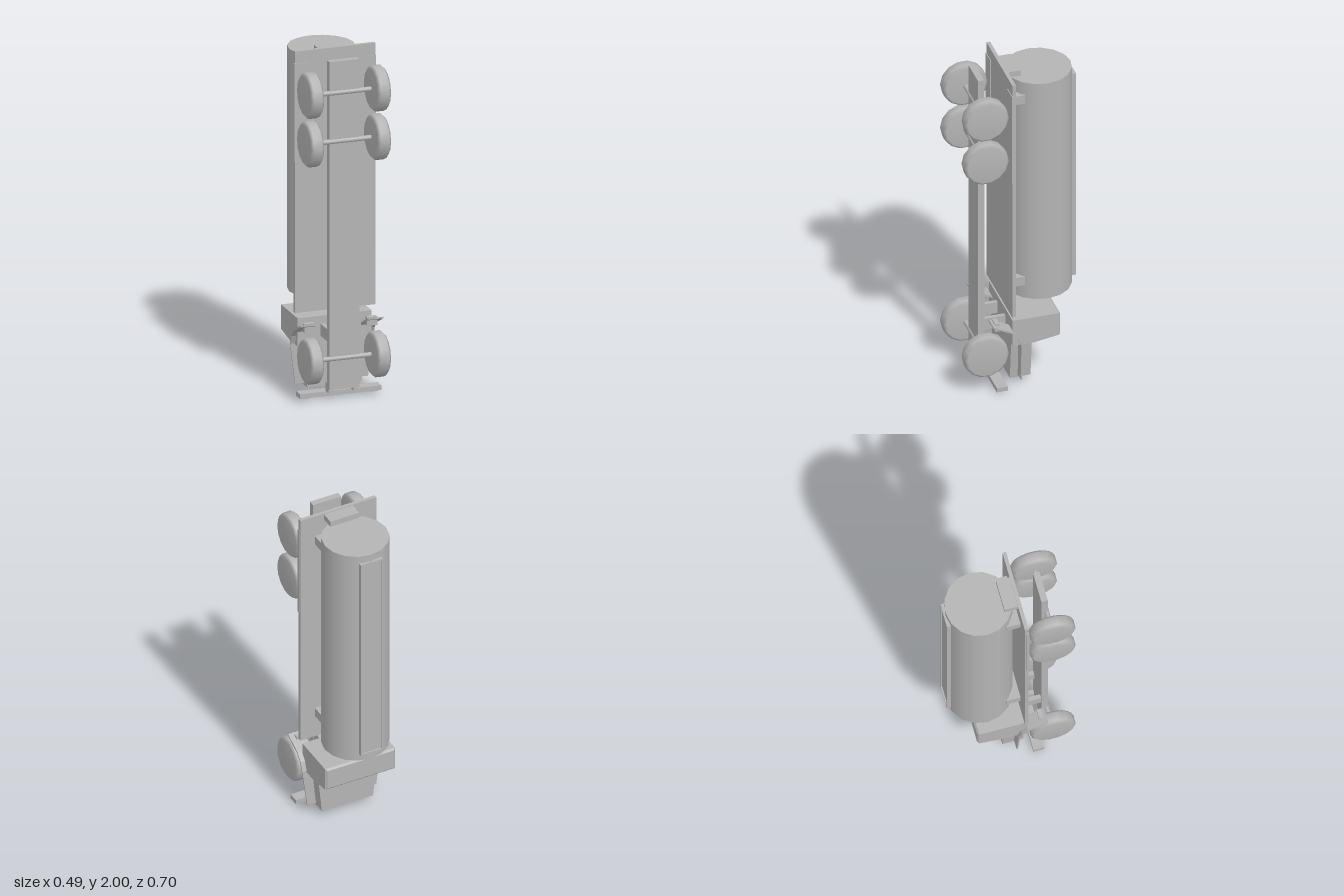
import * as THREE from 'three';
import { ConvexGeometry } from 'three/addons/geometries/ConvexGeometry.js';

// A tank truck standing on its nose: its front is at y = 0, its roof faces -z.
export function createModel() {
  const model = new THREE.Group();
  model.name = 'tankTruck';
  const grey = new THREE.MeshStandardMaterial({ color: 0xb4b4b4 });
  grey.name = 'plain grey';

  const add = (name, geometry, x = 0, y = 0, z = 0) => {
    const mesh = new THREE.Mesh(geometry, grey);
    mesh.name = name;
    mesh.position.set(x, y, z);
    model.add(mesh);
    return mesh;
  };
  // Box given by its extents
  const box = (name, x0, x1, y0, y1, z0, z1) =>
    add(name, new THREE.BoxGeometry(x1 - x0, y1 - y0, z1 - z0),
      (x0 + x1) / 2, (y0 + y1) / 2, (z0 + z1) / 2);
  // The same box on both sides
  const pair = (name, x0, x1, ...rest) => {
    box(name + 'Left', x0, x1, ...rest);
    box(name + 'Right', -x1, -x0, ...rest);
  };
  // Convex solid from half-widths: [halfWidth, y, z]
  const hull = (name, points) => add(name, new ConvexGeometry(
    points.flatMap(([x, y, z]) => [new THREE.Vector3(x, y, z), new THREE.Vector3(-x, y, z)])));

  // Chassis and load deck
  box('chassis', -0.088, 0.088, 0.06, 1.968, 0.187, 0.224);
  box('deck', -0.237, 0.237, 0.48, 2, 0.052, 0.073);
  pair('rearMudguard', 0.155, 0.241, 1.36, 1.93, 0.062, 0.077);
  box('rearBox', -0.09, 0.09, 1.96, 1.995, -0.025, 0.053);

  // Tank, its saddles and the walkway along its top
  add('tank', new THREE.CylinderGeometry(0.19, 0.19, 1.41, 16), 0, 1.24, -0.15);
  for (const y of [0.62, 1.81]) box('tankSaddle', -0.147, 0.147, y, y + 0.055, -0.03, 0.056);
  box('walkway', -0.06, 0.06, 0.59, 1.89, -0.342, -0.31);
  pair('walkwaySideRail', 0.06, 0.07, 0.58, 1.9, -0.35, -0.31);
  for (const y of [0.58, 1.89]) box('walkwayEndRail', -0.06, 0.06, y, y + 0.01, -0.35, -0.31);

  // Wheels and axles
  const wheel = new THREE.LatheGeometry(
    [[0, -0.039], [0.113, -0.039], [0.13, -0.024], [0.13, 0.024], [0.113, 0.039], [0, 0.039]]
      .map(([r, y]) => new THREE.Vector2(r, y)), 14);
  wheel.rotateZ(Math.PI / 2);
  const axle = new THREE.CylinderGeometry(0.014, 0.014, 0.34, 12);
  axle.rotateZ(Math.PI / 2);
  for (const y of [0.24, 1.503, 1.785]) {
    add('axle', axle, 0, y, 0.218);
    for (const side of [-1, 1]) add('wheel', wheel, side * 0.197, y, 0.218);
  }

  // Cab with sloping windscreen and bevelled roof
  hull('cab', [
    [0.218, 0.445, 0.065], [0.218, 0.28, 0.065], [0.218, 0.28, -0.057],
    [0.218, 0.303, -0.205], [0.218, 0.445, -0.205],
    [0.206, 0.314, -0.215], [0.206, 0.434, -0.215],
  ]);
  // Bonnet, narrowing towards the front
  hull('bonnet', [
    [0.185, 0.285, 0.063], [0.185, 0.285, -0.057],
    [0.16, 0.036, 0.063], [0.16, 0.036, -0.057],
  ]);
  pair('cabMount', 0.06, 0.084, 0.33, 0.4, 0.06, 0.19);

  // Front mudguards: a curved strip, its outer edge tapering towards the nose
  const outer = [[0.185, 0.44], [0.12, 0.41], [0.07, 0.385], [0.035, 0.345], [0.014, 0.29], [0.01, 0.05]];
  const inner = [[0.018, 0.05], [0.022, 0.287], [0.042, 0.338], [0.075, 0.377], [0.124, 0.4], [0.185, 0.431]];
  const strip = new THREE.Shape([...outer, ...inner].map(([z, y]) => new THREE.Vector2(z, y)));
  for (const side of [-1, 1]) {
    const guard = new THREE.ExtrudeGeometry(strip, { depth: 1, bevelEnabled: false });
    guard.rotateY(-Math.PI / 2);
    guard.translate(1, 0, 0);
    const p = guard.attributes.position;
    for (let i = 0; i < p.count; i++) {
      const taper = Math.max(0, (0.18 - p.getY(i)) / 0.13);
      const edge = 0.245 - 0.03 * taper;
      const t = p.getX(i);
      p.setX(i, side > 0 ? 0.155 + t * (edge - 0.155) : -edge + t * (edge - 0.155));
    }
    guard.computeVertexNormals();
    add('frontMudguard', guard);
  }
  pair('stepBox', 0.155, 0.215, 0.39, 0.44, 0.14, 0.166);

  // Bumper with brackets and small lamps
  box('bumper', -0.24, 0.24, 0.008, 0.035, 0.1, 0.164);
  pair('bumperBracket', 0.062, 0.086, 0.035, 0.09, 0.15, 0.2);
  pair('lamp', 0.175, 0.22, 0, 0.008, 0.115, 0.15);

  return model;
}
